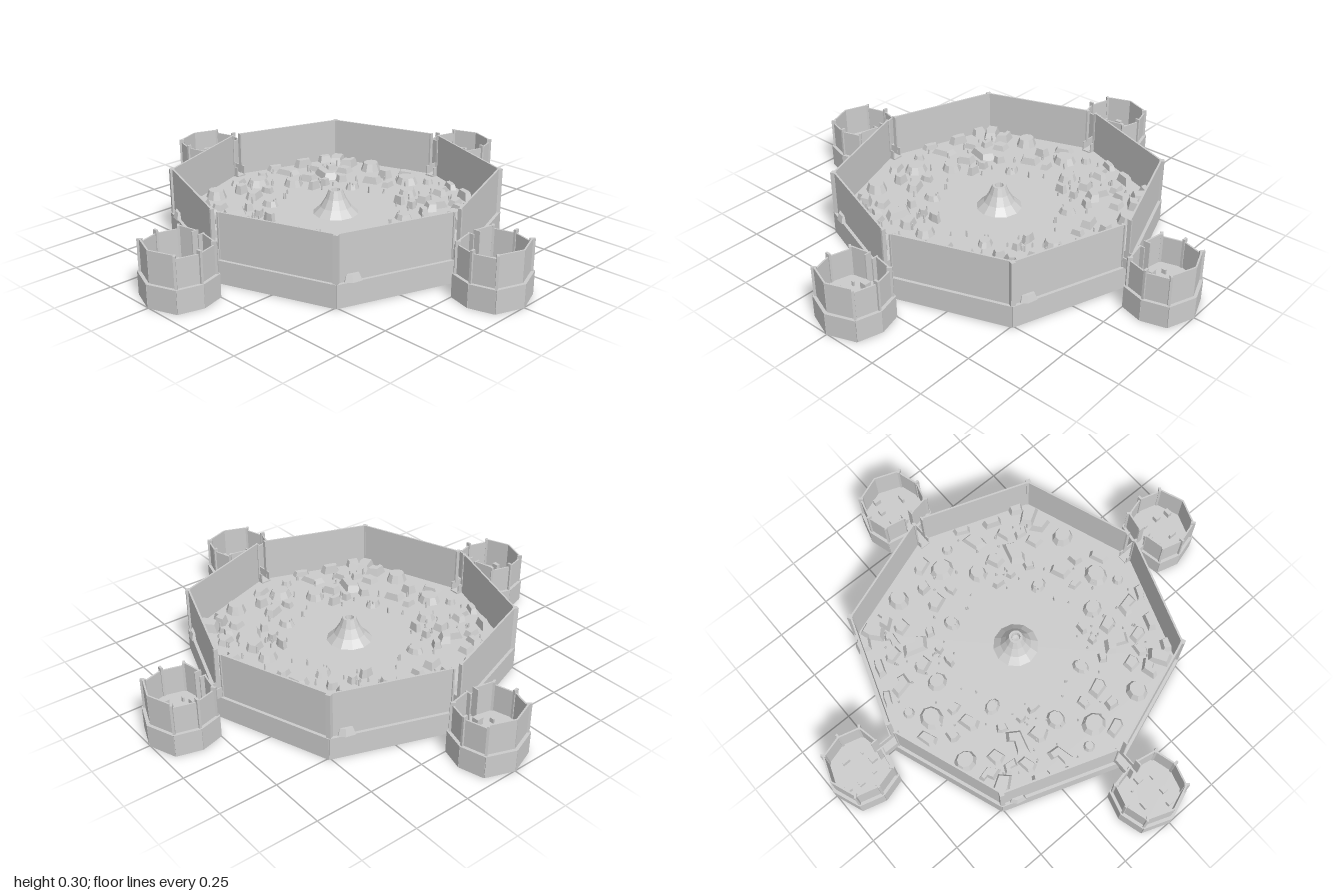
import * as THREE from 'three';

const material = new THREE.MeshStandardMaterial({ color: 0xcccccc, flatShading: true, side: THREE.DoubleSide });
const FLOOR = 0.1;

function add(parent, geometry, name, x = 0, y = 0, z = 0) {
  const mesh = new THREE.Mesh(geometry, material);
  mesh.name = name;
  mesh.position.set(x, y, z);
  parent.add(mesh);
  return mesh;
}

// Upright slab standing between two plan points [x, z]
function panel(parent, name, a, b, y0, y1, t = 0.006) {
  const dx = b[0] - a[0], dz = b[1] - a[1];
  const mesh = add(parent, new THREE.BoxGeometry(Math.hypot(dx, dz), y1 - y0, t), name,
    (a[0] + b[0]) / 2, (y0 + y1) / 2, (a[1] + b[1]) / 2);
  mesh.rotation.y = -Math.atan2(dz, dx);
}

// Plan outline extruded down from y = 0, laid flat
function slab(points, depth) {
  const shape = new THREE.Shape(points.map(([x, z]) => new THREE.Vector2(x, z)));
  return new THREE.ExtrudeGeometry(shape, { depth, bevelEnabled: false }).rotateX(Math.PI / 2);
}

const scaled = (points, s) => points.map(([x, z]) => [x * s, z * s]);
const lerp = (a, b, t) => [a[0] + (b[0] - a[0]) * t, a[1] + (b[1] - a[1]) * t];

// Closed skirt below a floor
function skirt(parent, points, name) {
  points.forEach((p, i) => panel(parent, name, p, points[(i + 1) % points.length], 0, FLOOR));
  add(parent, slab(points, 0.005), name + 'Floor', 0, FLOOR, 0);
}

// Footprints in a unit square
const ring = (n) => Array.from({ length: n }, (_, i) => {
  const a = (i / n) * Math.PI * 2;
  return [Math.cos(a) / 2, Math.sin(a) / 2];
});
const footprints = {
  hut: ring(9),
  block: [[-0.5, -0.4], [0.1, -0.5], [0.5, -0.3], [0.42, 0.5], [-0.4, 0.42]],
  bent: [[-0.5, -0.5], [0.1, -0.5], [0.15, 0.05], [0.5, 0.1], [0.45, 0.5], [-0.25, 0.45]],
};

// Sites as x, z, width, depth (hundredths) and turn
const sites = {
  hut: [[6, -55, 5, 5, 0], [-2, -49, 11, 10, 0], [50, -26, 10, 9, 0], [26, -15, 8, 6, 0.3], [9, -37, 8, 9, 0]],
  block: [[17, -58, 8, 3.5, -0.4], [19, -37, 6, 8, 0.3], [30, -52, 9, 4, -0.3], [31, -44, 5, 8, 0.2],
    [43, -51, 7, 7, -0.4], [45, -44, 11, 7, 0.6], [39, -33, 6, 7, 0.2], [38, -14, 6, 9, 0.3], [47, -14, 5, 6, 0],
    [56, -8, 5, 9, 0.3], [20, -27, 4, 3.5, 0.2], [13, -27, 6, 3, 0], [39, -5, 6, 4, 0.2], [29, -25, 5, 4, -0.4]],
  bent: [[18, -50, 8, 9, 0], [28, -34, 9, 11, -0.5], [46, -37, 9, 6, 0.3], [37, -40, 6, 6, 1.2]],
};

// House with a footprint that narrows towards its roof
function house(parent, kind, [x, z, w, d, turn], height) {
  const geometry = slab(footprints[kind], height);
  const p = geometry.attributes.position;
  for (let i = 0; i < p.count; i++) {
    const top = p.getY(i) > -height / 2;
    const s = top ? 0.72 : 1;
    p.setX(i, p.getX(i) * s * w / 100);
    p.setZ(i, p.getZ(i) * s * d / 100);
  }
  geometry.computeVertexNormals();
  add(parent, geometry, 'house', x / 100, FLOOR + height, z / 100).rotation.y = turn;
}

function seeded(seed) {
  return () => (seed = (seed * 16807) % 2147483647) / 2147483647;
}

// One quarter of the settlement
function buildQuarter() {
  const quarter = new THREE.Group();
  quarter.name = 'houseQuarter';
  for (const kind in sites) {
    sites[kind].forEach((site, i) => house(quarter, kind, site, 0.024 + 0.007 * (i % 3)));
  }
  const random = seeded(77);
  for (let i = 0; i < 30; i++) {
    const a = random() * Math.PI / 2, r = 0.27 + random() * 0.31;
    const h = 0.018 + random() * 0.016;
    add(quarter, new THREE.CylinderGeometry(0.003, 0.005, h, 5), 'post',
      Math.cos(a) * r, FLOOR + h / 2, -Math.sin(a) * r);
  }
  return quarter;
}

// Outlying tower, with its outer side towards +z and its bridge towards -z
function buildTower() {
  const tower = new THREE.Group();
  tower.name = 'tower';
  const half = [[0, 0.15], [0.12, 0.105], [0.15, 0], [0.122, -0.1], [0.02, -0.12]];
  const outline = [...half, ...half.slice(1).reverse().map(([x, z]) => [-x, z])];
  skirt(tower, outline, 'towerBase');

  const wall = scaled(half, 0.9);
  const tops = [0.235, 0.22, 0.22, 0.235];
  for (const side of [1, -1]) {
    const m = ([x, z]) => [x * side, z];
    tops.forEach((top, i) => panel(tower, 'towerWall', m(wall[i]), m(wall[i + 1]), FLOOR, top, 0.007));
    // Corner fins
    wall.slice(1, 4).forEach((p) => panel(tower, 'towerFin', m(scaled([p], 0.93)[0]), m(scaled([p], 1.08)[0]), FLOOR, 0.235, 0.01));
    // Gate jambs
    panel(tower, 'towerGateJamb', m([0.02, -0.115]), m([0.02, -0.085]), FLOOR, 0.235);
  }

  // Furnishings: x, z, width, depth, height
  [[0, -0.06, 0.03, 0.03, 0.03], [0.05, 0.04, 0.025, 0.025, 0.025], [-0.06, 0.035, 0.01, 0.035, 0.03],
    [0.035, 0.095, 0.03, 0.02, 0.03], [-0.05, -0.04, 0.012, 0.008, 0.02], [0.05, -0.03, 0.008, 0.02, 0.02]]
    .forEach(([x, z, w, d, h]) => add(tower, new THREE.BoxGeometry(w, h, d), 'furnishing', x, FLOOR + h / 2, z));

  // Bridge deck with low parapets
  add(tower, new THREE.BoxGeometry(0.045, 0.008, 0.11), 'bridgeDeck', 0, FLOOR + 0.002, -0.165);
  for (const x of [-0.021, 0.021]) {
    add(tower, new THREE.BoxGeometry(0.005, 0.045, 0.1), 'bridgeParapet', x, FLOOR + 0.0225, -0.165);
  }
  tower.position.z = 0.85;
  return tower;
}

export function createModel() {
  const model = new THREE.Group();
  model.name = 'walledSettlement';

  // Octagonal platform
  const octagon = [];
  for (let i = 0; i < 8; i++) {
    const a = i * Math.PI / 4, r = i % 2 ? 0.716 : 0.686;
    octagon.push([Math.sin(a) * r, Math.cos(a) * r]);
  }
  skirt(model, octagon, 'platform');

  // Ramparts, open at the four gates
  const rim = scaled(octagon, 0.978);
  for (let i = 0; i < 8; i++) {
    const gate = i % 2 ? rim[(i + 1) % 8] : rim[i];
    const corner = i % 2 ? rim[i] : rim[(i + 1) % 8];
    const end = lerp(gate, corner, 0.044);
    panel(model, 'rampart', end, corner, FLOOR, 0.3, 0.008);
    panel(model, 'gateJamb', scaled([end], 0.985)[0], scaled([end], 1.012)[0], FLOOR, 0.3, 0.008);
    if (i % 2) {
      const [x, z] = scaled([corner], 1.005)[0];
      add(model, new THREE.BoxGeometry(0.02, 0.2, 0.02), 'cornerPost', x, 0.2, z).rotation.y = Math.PI / 8 * i;
    }
  }

  // Central cone with a crater
  const profile = [[0.1, 0], [0.068, 0.03], [0.045, 0.068], [0.03, 0.105], [0.02, 0.105], [0.016, 0.085], [0, 0.083]];
  add(model, new THREE.LatheGeometry(profile.map(([x, y]) => new THREE.Vector2(x, y)), 12), 'craterCone', 0, FLOOR, 0);

  // Four quarters and four towers
  for (let i = 0; i < 4; i++) {
    const sector = new THREE.Group();
    sector.name = 'sector';
    sector.rotation.y = i * Math.PI / 2;
    sector.add(buildQuarter(), buildTower());
    model.add(sector);
  }
  return model;
}
